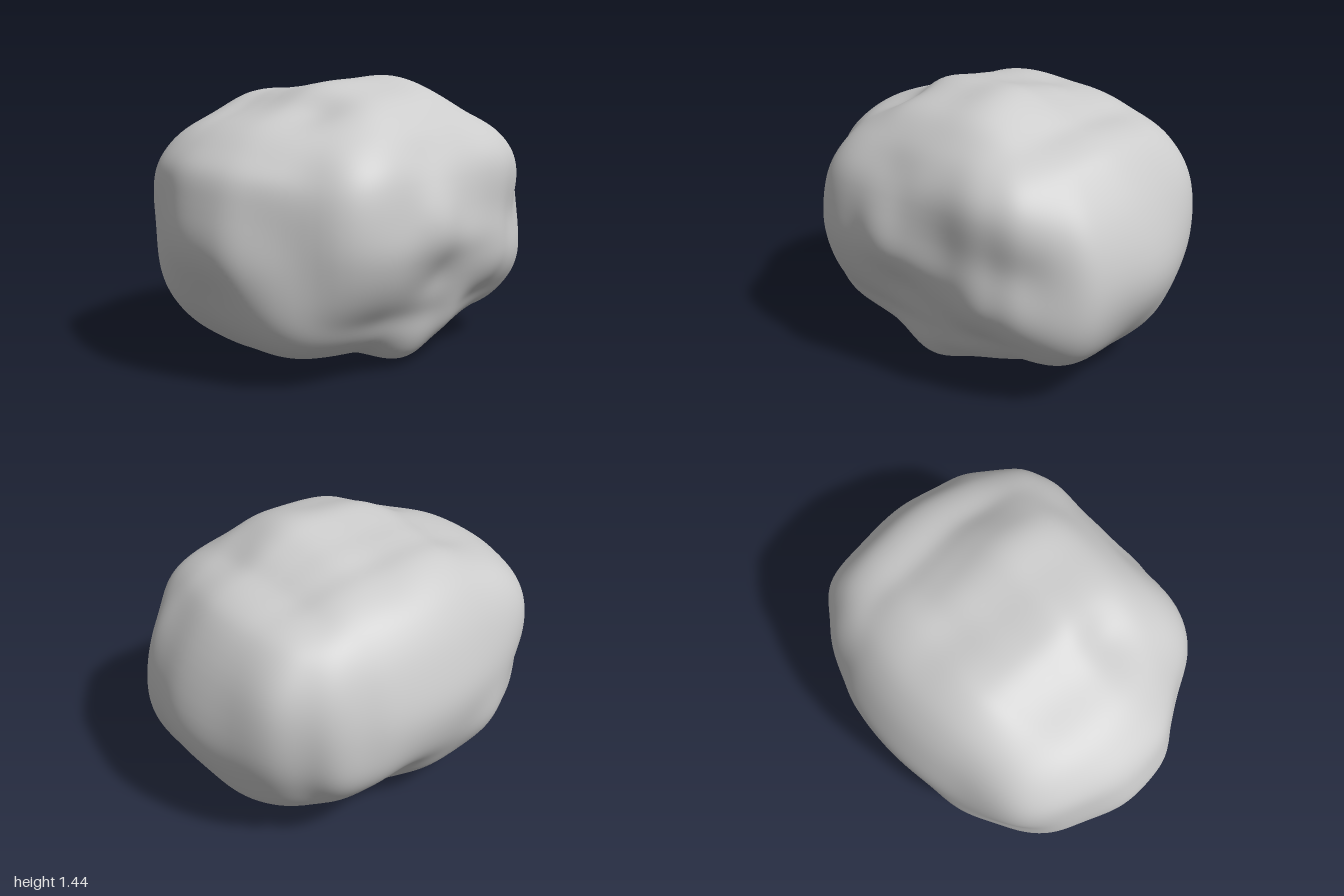
import * as THREE from 'three';
import { mergeVertices } from 'three/addons/utils/BufferGeometryUtils.js';

const HALF = new THREE.Vector3(0.81, 0.7175, 1.0);
const CY = 0.7175;

// Outlines of the boulder in its three middle planes
const XY = [[0.81, 0.68], [0.78, 0.83], [0.75, 1.03], [0.67, 1.16], [0.6, 1.24], [0.47, 1.35], [0.3, 1.4],
  [0.13, 1.435], [0, 1.38], [-0.08, 1.35], [-0.25, 1.355], [-0.42, 1.37], [-0.58, 1.28], [-0.71, 1.11],
  [-0.78, 0.92], [-0.81, 0.75], [-0.77, 0.56], [-0.7, 0.38], [-0.6, 0.2], [-0.43, 0.09], [-0.23, 0.07],
  [-0.1, 0.02], [0.12, 0], [0.3, 0.045], [0.46, 0.08], [0.58, 0.2], [0.62, 0.3], [0.7, 0.42], [0.78, 0.58]];
const ZY = [[1, 0.63], [0.98, 0.85], [0.95, 1.03], [0.85, 1.12], [0.7, 1.22], [0.45, 1.31], [0.3, 1.41],
  [0.18, 1.43], [0, 1.425], [-0.2, 1.43], [-0.35, 1.36], [-0.5, 1.28], [-0.6, 1.27], [-0.73, 1.22],
  [-0.85, 1.06], [-0.93, 0.85], [-1, 0.6], [-0.93, 0.37], [-0.85, 0.24], [-0.72, 0.14], [-0.57, 0.12],
  [-0.35, 0.035], [-0.08, 0], [0.1, 0.04], [0.3, 0.09], [0.45, 0.07], [0.65, 0.14], [0.8, 0.27], [0.93, 0.45]];
const XZ = [[0.79, 0], [0.81, 0.1], [0.78, 0.28], [0.78, 0.45], [0.74, 0.57], [0.66, 0.67], [0.5, 0.77],
  [0.3, 0.9], [0.2, 0.97], [0.05, 0.99], [-0.13, 0.98], [-0.3, 0.9], [-0.5, 0.8], [-0.6, 0.72], [-0.67, 0.6],
  [-0.73, 0.4], [-0.78, 0.2], [-0.81, 0], [-0.81, -0.2], [-0.78, -0.35], [-0.73, -0.45], [-0.67, -0.6],
  [-0.58, -0.7], [-0.5, -0.82], [-0.4, -0.89], [-0.2, -0.95], [-0.02, -0.99], [0.1, -1], [0.25, -0.97],
  [0.46, -0.91], [0.52, -0.85], [0.62, -0.7], [0.67, -0.6], [0.68, -0.5], [0.72, -0.38], [0.73, -0.25]];

// Lumps (positive) and dents (negative): x, y, z, height, width
const BUMPS = [
  // full shoulders and lower corners
  [0.68, 1.06, 0.45, 0.03, 0.3], [-0.51, 1.05, 0.75, 0.06, 0.3], [-0.52, 1.05, -0.75, 0.06, 0.3],
  [0.68, 1.04, -0.5, 0.09, 0.28], [0.4, 0.27, 0.74, 0.1, 0.28], [-0.45, 0.29, 0.77, 0.06, 0.26],
  [-0.73, 0.4, 0.42, 0.05, 0.22], [-0.72, 0.43, -0.5, 0.05, 0.25], [0.5, 0.38, -0.73, 0.085, 0.26],
  [0.69, 0.5, -0.45, 0.05, 0.22], [0.47, 0.09, 0.05, 0.06, 0.22], [-0.28, 0.08, 0.38, 0.07, 0.28],
  // hollows between them
  [-0.53, 0.29, -0.17, -0.08, 0.26], [-0.4, 1.37, -0.11, -0.03, 0.25], [0.63, 0.72, -0.65, -0.03, 0.16],
  [-0.57, 0.62, 0.68, -0.03, 0.18], [0.25, 1.3, 0.4, -0.03, 0.2], [0.65, 1.05, 0.1, -0.02, 0.18],
  [0.78, 0.5, 0.05, -0.045, 0.2], [0.05, 0.45, 0.9, -0.025, 0.18], [0.38, 0.75, 0.82, -0.02, 0.2],
  [0.05, 0.25, -0.85, -0.035, 0.2],
  // small swellings on the faces
  [-0.45, 0.52, 0.82, 0.02, 0.2], [0.78, 0.8, 0.15, 0.025, 0.18], [0.6, 0.28, -0.15, 0.03, 0.16],
  [0.3, 1.37, -0.2, 0.03, 0.25], [-0.1, 0.8, 0.98, 0.01, 0.2],
].map(([x, y, z, h, w]) => ({ dir: new THREE.Vector3(x, y - CY, z).normalize(), h, w }));

// Returns how far an outline stands out from the plain ellipse, by angle
function outlineRatio(points, cy, a, b) {
  const curve = new THREE.CatmullRomCurve3(points.map(([u, v]) => new THREE.Vector3(u, v - cy, 0)), true);
  const list = curve.getPoints(720).map((p) => ({
    t: Math.atan2(p.y, p.x), q: Math.hypot(p.x / a, p.y / b),
  })).sort((m, n) => m.t - n.t);
  const N = 360;
  const table = Array.from({ length: N }, (_, i) => {
    const t = (i / N) * 2 * Math.PI - Math.PI;
    return (list.find((e) => e.t >= t) || list[0]).q;
  });
  // soften the outline slightly
  const soft = table.map((_, i) => {
    let s = 0;
    for (let k = -3; k <= 3; k++) s += table[(i + k + N) % N];
    return s / 7;
  });
  return (u, v) => {
    const f = ((Math.atan2(v, u) + Math.PI) / (2 * Math.PI)) * N;
    const i = Math.floor(f);
    return THREE.MathUtils.lerp(soft[i % N], soft[(i + 1) % N], f - i);
  };
}

export function createModel() {
  const qXY = outlineRatio(XY, CY, HALF.x, HALF.y);
  const qZY = outlineRatio(ZY, CY, HALF.z, HALF.y);
  const qXZ = outlineRatio(XZ, 0, HALF.x, HALF.z);

  let geo = new THREE.IcosahedronGeometry(1, 44);
  geo.deleteAttribute('uv');
  geo.deleteAttribute('normal');
  geo = mergeVertices(geo, 1e-5);

  // Blend the three outlines over the ellipsoid, then add lumps and dents
  const pos = geo.attributes.position;
  const n = new THREE.Vector3();
  const p = new THREE.Vector3();
  const d = new THREE.Vector3();
  const BASE = 0.06; // share of the plain, slightly swollen ellipsoid
  for (let i = 0; i < pos.count; i++) {
    n.fromBufferAttribute(pos, i).normalize();
    p.copy(n).multiply(HALF);
    const wXY = (1 - n.z * n.z) ** 5;
    const wZY = (1 - n.x * n.x) ** 5;
    const wXZ = (1 - n.y * n.y) ** 5;
    const q = (wXY * qXY(p.x, p.y) + wZY * qZY(p.z, p.y) + wXZ * qXZ(p.x, p.z) + BASE * 1.02)
      / (wXY + wZY + wXZ + BASE);
    d.copy(p).normalize();
    let bump = 0;
    for (const b of BUMPS) bump += b.h * Math.exp(-d.distanceToSquared(b.dir) / (b.w * b.w));
    p.multiplyScalar(q).addScaledVector(d, bump);
    pos.setXYZ(i, p.x, p.y, p.z);
  }

  // Stand it on the ground
  geo.center();
  geo.translate(0, -geo.boundingBox.min.y, 0);
  geo.computeVertexNormals();

  const boulder = new THREE.Mesh(geo, new THREE.MeshStandardMaterial({ color: 0xcccccc }));
  boulder.name = 'boulder';
  const group = new THREE.Group();
  group.name = 'rock';
  group.add(boulder);
  return group;
}
